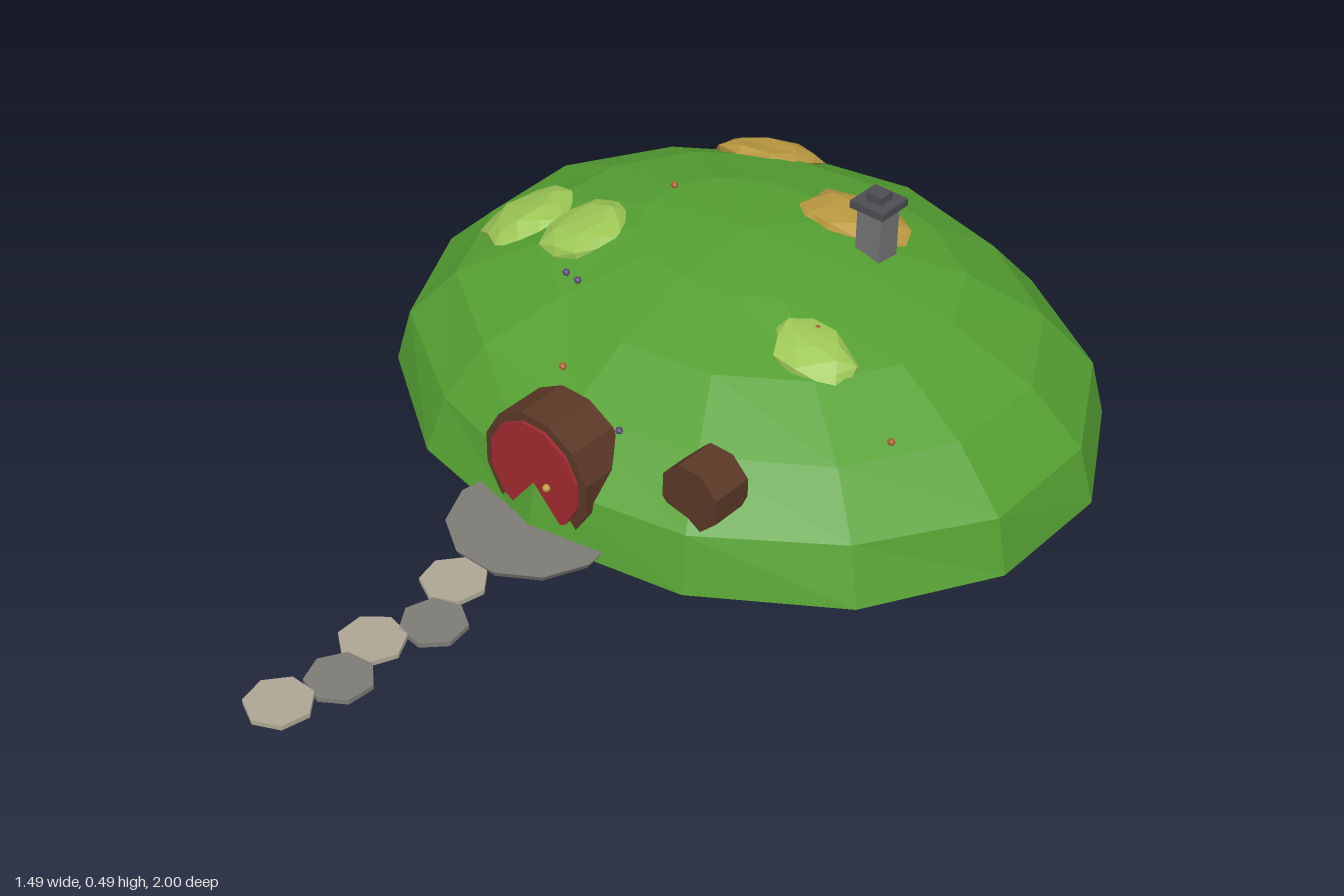
import * as THREE from 'three';

const mat = (color, extra = {}) => new THREE.MeshStandardMaterial({ color, flatShading: true, ...extra });
const GRASS = mat(0x55a032, { side: THREE.DoubleSide });
const WOOD = mat(0x5a3826), RED = mat(0xa02a30), STONE = mat(0x7c7b76), PALE = mat(0xaea694);
const CHIMNEY = mat(0x737373), DARK = mat(0x4c4c52), LEAF = mat(0x9cc655), GOLD = mat(0xbb9a40);

// Hill ellipsoid: centre and radii
const HILL = { z: -0.35, rx: 0.765, ry: 0.38, rz: 0.65 };

// Repeatable noise in -1..1 from a position
function noise(x, y, z, seed = 0) {
  const r = (v) => Math.round(v * 1000) / 1000;
  const s = Math.sin(r(x) * 12.99 + r(y) * 78.23 + r(z) * 37.72 + seed * 4.1) * 4375.85;
  return (s - Math.floor(s)) * 2 - 1;
}

// Move every vertex by a rule
function warp(geometry, rule) {
  const p = geometry.attributes.position, v = new THREE.Vector3();
  for (let i = 0; i < p.count; i++) {
    rule(v.fromBufferAttribute(p, i));
    p.setXYZ(i, v.x, v.y, v.z);
  }
  geometry.computeVertexNormals();
  return geometry;
}

function add(parent, name, geometry, material, x = 0, y = 0, z = 0) {
  const mesh = new THREE.Mesh(geometry, material);
  mesh.name = name;
  mesh.position.set(x, y, z);
  parent.add(mesh);
  return mesh;
}

// Cylinder lying along z, with a flat side on top
function drum(radius, depth, sides) {
  return new THREE.CylinderGeometry(radius, radius, depth, sides)
    .rotateY(Math.PI / sides).rotateX(Math.PI / 2);
}

// Height and outward normal of the hill above a ground position
function onHill(x, z) {
  const dz = z - HILL.z;
  const y = HILL.ry * Math.sqrt(Math.max(0, 1 - (x / HILL.rx) ** 2 - (dz / HILL.rz) ** 2));
  const n = new THREE.Vector3(x / HILL.rx ** 2, y / HILL.ry ** 2, dz / HILL.rz ** 2).normalize();
  return { y, n };
}

// Flattened, lumpy shrub lying against the slope
function shrub(parent, name, material, x, z, sx, sz, seed) {
  const geo = warp(new THREE.IcosahedronGeometry(1, 1), (v) => {
    v.multiplyScalar(1 + 0.14 * noise(v.x, v.y, v.z, seed));
    v.set(v.x * sx, v.y * 0.033, v.z * sz);
  });
  const { y, n } = onHill(x, z);
  const mesh = add(parent, name, geo, material, x, y - 0.012, z);
  mesh.quaternion.setFromUnitVectors(new THREE.Vector3(0, 1, 0), n);
}

export function createModel() {
  const model = new THREE.Group();
  model.name = 'hillHouse';

  // Faceted, hollow hill open underneath
  const dome = warp(new THREE.SphereGeometry(1, 14, 5, Math.PI / 2, Math.PI * 2, 0, Math.PI / 2), (v) => {
    const inner = v.y > 0.01 && v.y < 0.99;
    const front = v.z > 0.9 && Math.abs(v.x) < 0.01;
    const k = inner ? (front ? 1.015 : 1 + 0.014 * noise(v.x, v.y, v.z)) : 1;
    v.set(v.x * HILL.rx * k, Math.max(0, v.y) * HILL.ry * (inner ? (k + 1) / 2 : 1), HILL.z + v.z * HILL.rz * k);
  });
  add(model, 'hill', dome, GRASS);

  // Round front door in a deep wooden frame
  const entrance = new THREE.Group();
  entrance.name = 'entrance';
  model.add(entrance);
  add(entrance, 'doorFrame', drum(0.132, 0.113, 12), WOOD, 0, 0.132, 0.2145);
  add(entrance, 'door', drum(0.112, 0.02, 12), RED, 0, 0.135, 0.268);
  add(entrance, 'doorKnob', new THREE.IcosahedronGeometry(0.008, 1), GOLD, 0.037, 0.124, 0.282);

  // Round window barrel
  add(model, 'window', drum(0.069, 0.09, 8), WOOD, 0.308, 0.187, 0.145);

  // Chimney
  const chimney = new THREE.Group();
  chimney.name = 'chimney';
  chimney.position.set(0.212, 0, -0.48);
  model.add(chimney);
  add(chimney, 'chimneyShaft', new THREE.BoxGeometry(0.058, 0.12, 0.058), CHIMNEY, 0, 0.4, 0);
  add(chimney, 'chimneyCap', new THREE.BoxGeometry(0.08, 0.016, 0.08), DARK, 0, 0.465, 0);
  add(chimney, 'chimneyPot', new THREE.BoxGeometry(0.036, 0.018, 0.036), DARK, 0, 0.481, 0);

  // Doorstep and stepping stones
  const step = new THREE.CylinderGeometry(0.168, 0.16, 0.014, 11).rotateY(Math.PI);
  add(model, 'doorstep', step, STONE, 0, 0.018, 0.28);
  [[0.005, 0.5], [0.06, 0.608], [0.01, 0.714], [0.04, 0.822], [0.006, 0.936]].forEach(([x, z], i) => {
    const slab = new THREE.CylinderGeometry(0.065, 0.065, 0.01, 7).rotateY(i * 0.35 + (i === 4 ? -1.4 : 0));
    add(model, 'steppingStone' + (i + 1), slab, i % 2 ? STONE : PALE, x, 0.018, z);
  });

  // Shrubs: x, z, half sizes
  [[-0.46, -0.205, 0.1, 0.105], [-0.29, -0.195, 0.09, 0.1], [0.31, -0.165, 0.092, 0.066]]
    .forEach((s, i) => shrub(model, 'greenShrub' + (i + 1), LEAF, ...s, i + 1));
  [[-0.265, -0.73, 0.125, 0.092], [0.105, -0.555, 0.125, 0.105]]
    .forEach((s, i) => shrub(model, 'goldenShrub' + (i + 1), GOLD, ...s, i + 6));

  // Tiny flowers scattered on the slope
  const petals = [mat(0xb0602c), mat(0x5a4a78)];
  [[-0.23, 0.365, -0.39], [-0.18, 0.33, -0.045], [-0.068, 0.267, 0.12], [0.115, 0.232, 0.165],
    [0.525, 0.247, -0.125], [-0.21, 0.335, -0.045], [0.285, 0.347, -0.205]].forEach(([x, y, z], i) => {
    add(model, 'flower' + (i + 1), new THREE.IcosahedronGeometry(0.008, 0), petals[i % 2], x, y, z);
  });

  return model;
}
